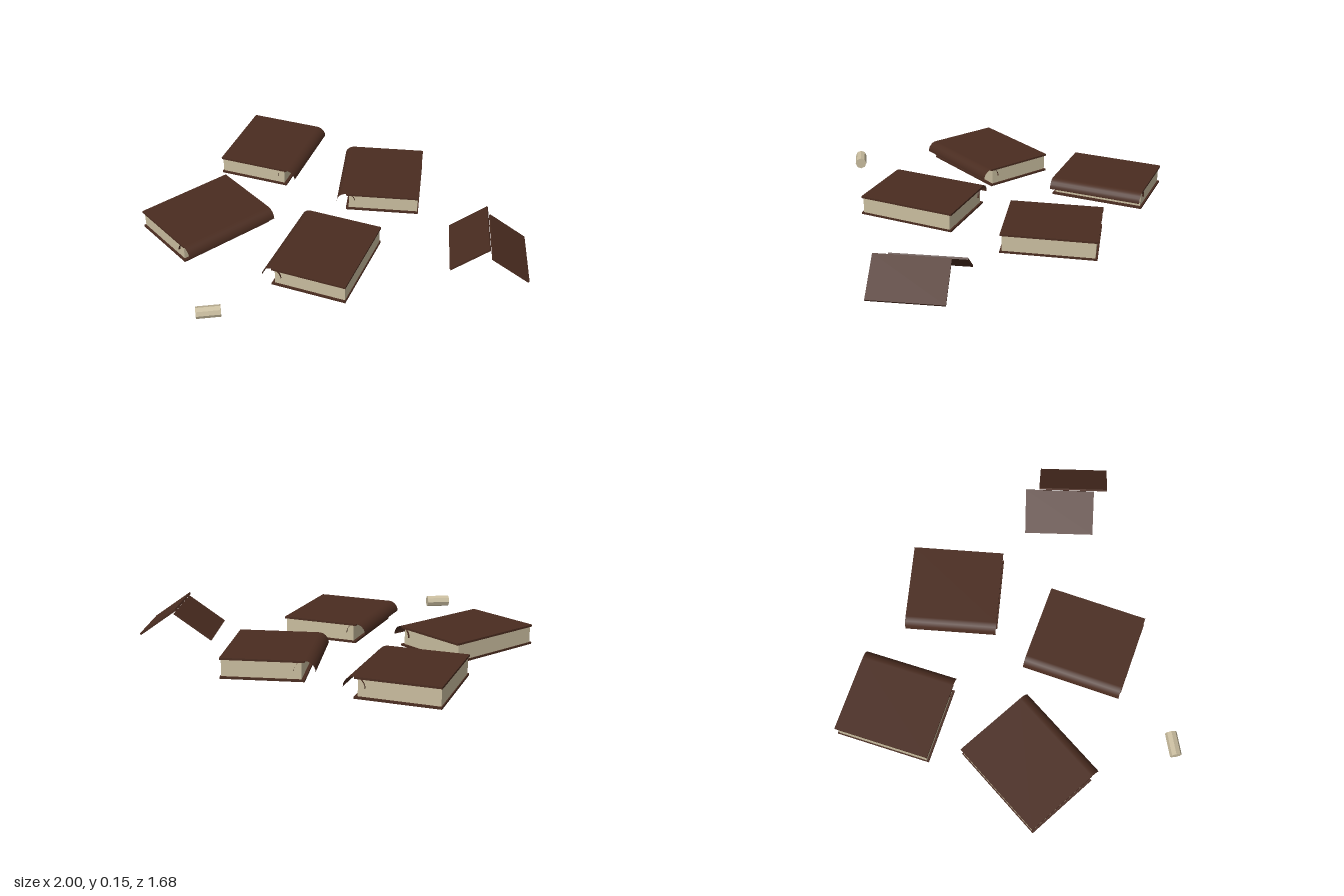
import * as THREE from 'three';

export function createModel() {
  const leather = new THREE.MeshStandardMaterial({ color: 0x4a2c20, side: THREE.DoubleSide });
  leather.name = 'brown leather';
  const paper = new THREE.MeshStandardMaterial({ color: 0xc8bc9e });
  paper.name = 'aged paper';

  const root = new THREE.Group();
  root.name = 'scatteredBooks';

  const add = (parent, name, geometry, material, x, y, z) => {
    const mesh = new THREE.Mesh(geometry, material);
    mesh.name = name;
    mesh.position.set(x, y, z);
    parent.add(mesh);
    return mesh;
  };

  // Closed book: two boards, page block and arched spine on local +x
  const addBook = (x, z, length, turn) => {
    const book = new THREE.Group();
    book.name = 'closedBook';
    book.position.set(x, 0, z);
    book.rotation.y = turn;
    const board = new THREE.BoxGeometry(0.39, 0.01, length);
    add(book, 'bottomCover', board, leather, -0.025, 0.005, 0);
    add(book, 'topCover', board, leather, -0.025, 0.095, 0);
    add(book, 'pages', new THREE.BoxGeometry(0.37, 0.08, length - 0.02), paper, -0.03, 0.05, 0);
    const arch = new THREE.CylinderGeometry(0.05, 0.05, length, 12, 1, true, 0, Math.PI);
    arch.rotateZ(Math.PI / 2).rotateY(Math.PI / 2); // axis along the book
    // turn the half shell so that it opens downwards
    arch.computeBoundingBox();
    const c = arch.boundingBox.getCenter(new THREE.Vector3());
    arch.rotateZ(Math.PI / 2 - Math.atan2(c.y, c.x));
    add(book, 'spine', arch, leather, 0.17, 0.05, 0);
    root.add(book);
  };
  addBook(-0.66, -0.583, 0.488, 0.066);
  addBook(0.011, -0.553, 0.47, Math.PI + 0.298);
  addBook(-0.011, 0.181, 0.513, Math.PI + 0.038);
  addBook(-0.685, 0.15, 0.532, -0.464);

  // Loose covers leaning together like a tent
  const tent = new THREE.Group();
  tent.name = 'looseCovers';
  const leaf = new THREE.BoxGeometry(0.233, 0.01, 0.363);
  for (const [x, tilt, name] of [[0.634, 0.62, 'rightLooseCover'], [0.8435, -0.62, 'leftLooseCover']]) {
    const cover = add(tent, name, leaf, leather, x, 0.077, -0.209);
    cover.rotation.set(0, 0.342, tilt, 'YXZ');
  }
  root.add(tent);

  // Rolled paper lying on its side
  const roll = new THREE.CylinderGeometry(0.03, 0.03, 0.12, 8).toNonIndexed();
  roll.computeVertexNormals();
  roll.rotateZ(Math.PI / 2);
  add(root, 'paperRoll', roll, paper, -0.337, 0.038, 0.782).rotation.y = 0.55;

  return root;
}
